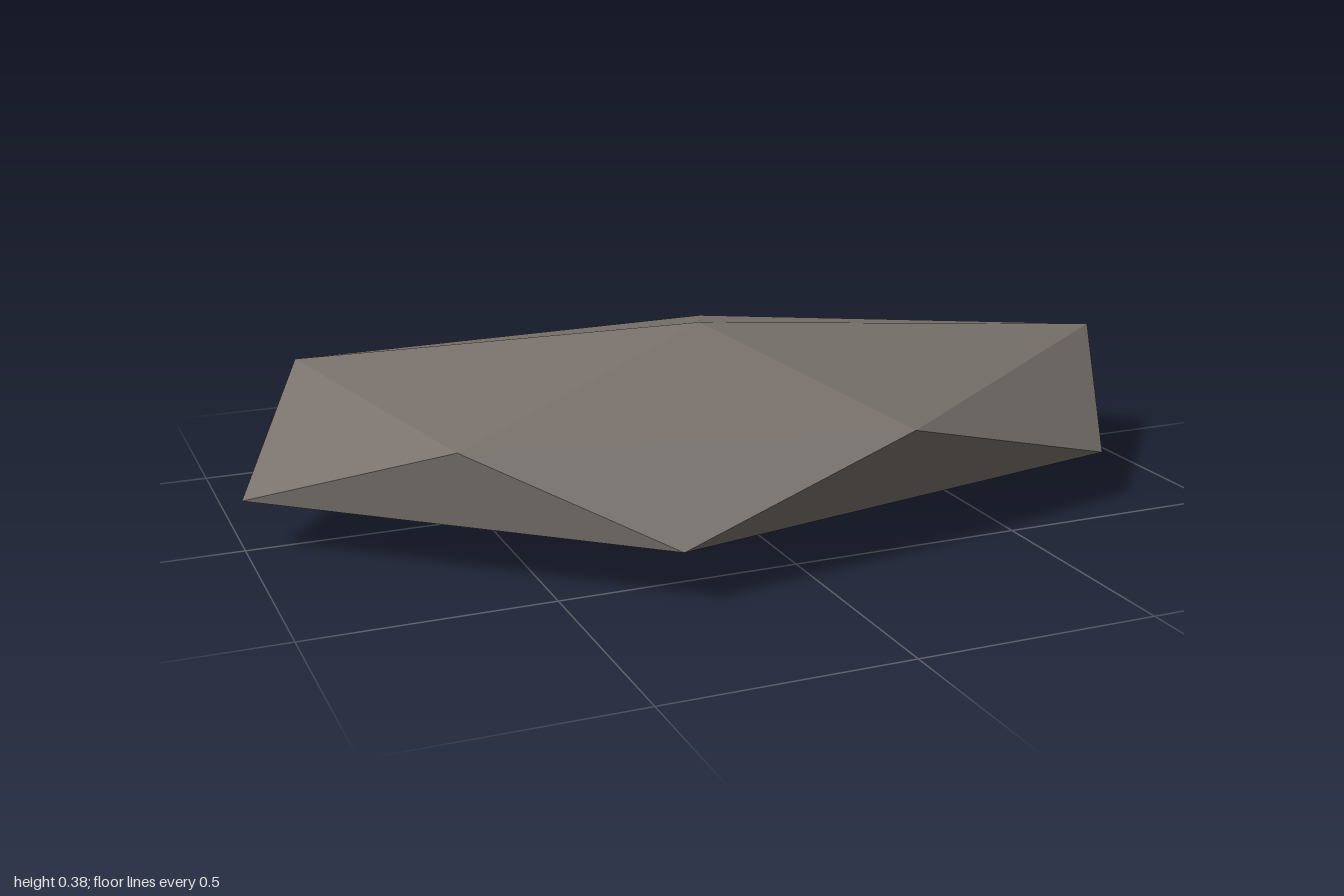
import * as THREE from 'three';

// A flattened, faceted rock: two poles and two staggered five-point rings.
export function createModel() {
  const stone = new THREE.MeshStandardMaterial({ color: 0x78716c, flatShading: true });
  stone.name = 'warm grey stone';

  const top = [0, 0.385, 0];
  const bottom = [0, 0.003, 0];
  const upper = [[1, 0.285, 0], [0.24, 0.265, 0.54], [-0.64, 0.265, 0.33], [-0.8, 0.284, -0.41], [0.22, 0.262, -0.52]];
  const lower = [[0.78, 0.112, 0.405], [-0.29, 0.112, 0.62], [-1, 0.11, 0], [-0.29, 0.112, -0.625], [0.74, 0.112, -0.385]];

  const points = [];
  const face = (a, b, c) => points.push(...a, ...b, ...c);
  for (let i = 0; i < 5; i++) {
    const j = (i + 1) % 5;
    face(top, upper[j], upper[i]);         // cap
    face(upper[i], upper[j], lower[i]);    // side facets
    face(lower[i], upper[j], lower[j]);
    face(bottom, lower[i], lower[j]);      // underside
  }

  const geometry = new THREE.BufferGeometry();
  geometry.setAttribute('position', new THREE.Float32BufferAttribute(points, 3));
  geometry.computeVertexNormals();

  const rock = new THREE.Mesh(geometry, stone);
  rock.name = 'rock';
  const group = new THREE.Group();
  group.name = 'flatRock';
  group.add(rock);
  return group;
}
